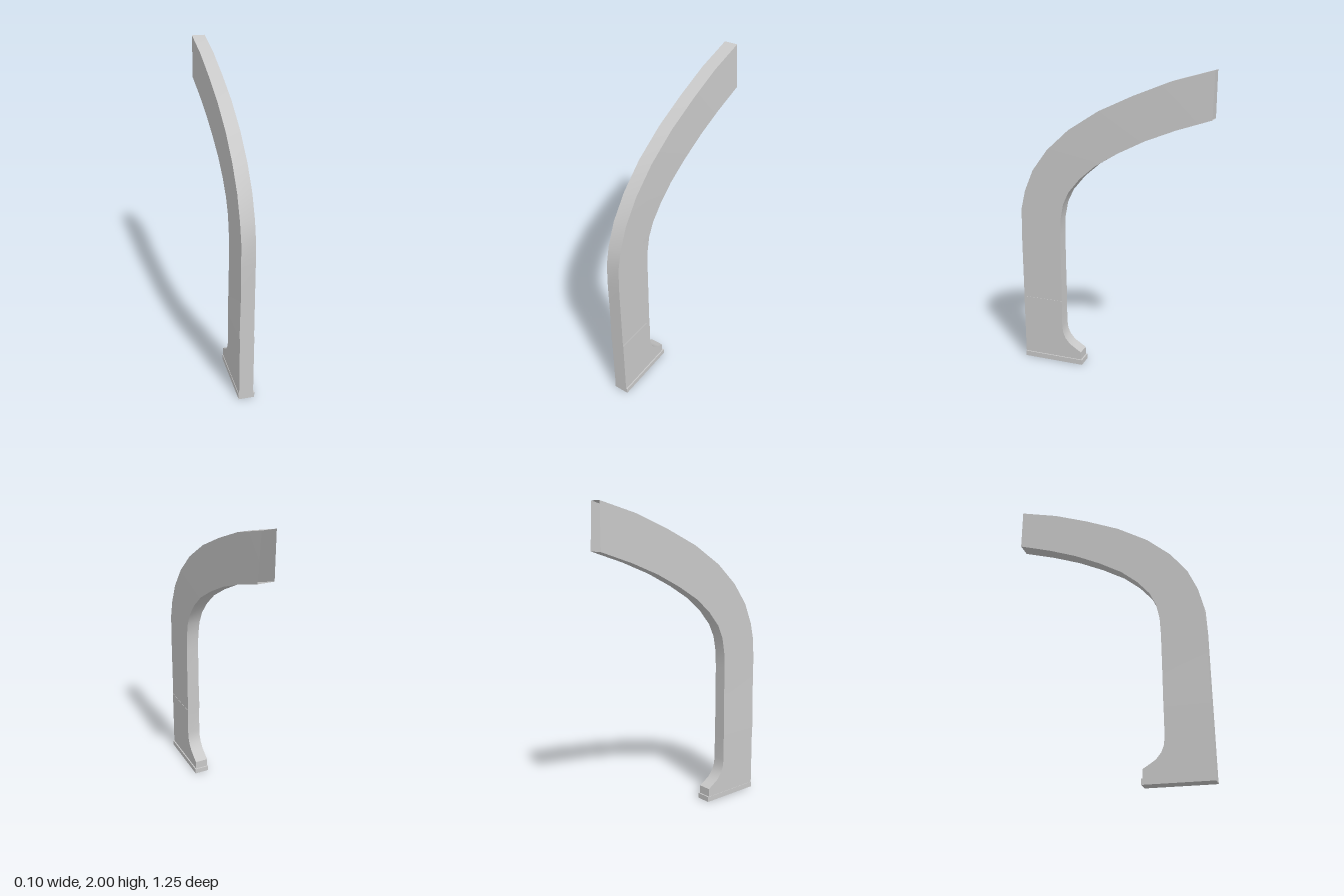
import * as THREE from 'three';
import { mergeGeometries, toCreasedNormals } from 'three/addons/utils/BufferGeometryUtils.js';

// Smooth strip between two rails of [x, y, z] points
function strip(railA, railB) {
  const pos = [], index = [];
  railA.forEach((a, i) => {
    pos.push(...a, ...railB[i]);
    if (i > 0) {
      const k = 2 * (i - 1);
      index.push(k, k + 1, k + 3, k, k + 3, k + 2);
    }
  });
  const g = new THREE.BufferGeometry();
  g.setAttribute('position', new THREE.Float32BufferAttribute(pos, 3));
  g.setIndex(index);
  g.computeVertexNormals();
  return g;
}

export function createModel() {
  const group = new THREE.Group();
  const grey = new THREE.MeshStandardMaterial({ color: 0xc8c8c8, side: THREE.DoubleSide });
  grey.name = 'light grey';

  const add = (name, geometry) => {
    const mesh = new THREE.Mesh(geometry, grey);
    mesh.name = name;
    group.add(mesh);
  };

  // Curved hollow beam: matching [z, y] points on its outer and inner edges
  const outer = [[0.63, 0.45], [0.63, 0.7], [0.63, 0.92], [0.624, 1.08], [0.595, 1.2], [0.535, 1.34],
    [0.43, 1.48], [0.28, 1.615], [0.08, 1.74], [-0.14, 1.84], [-0.37, 1.93], [-0.625, 2]];
  const inner = [[0.35, 0.45], [0.35, 0.7], [0.35, 0.92], [0.345, 1.03], [0.325, 1.13], [0.285, 1.215],
    [0.205, 1.31], [0.1, 1.4], [-0.05, 1.49], [-0.22, 1.575], [-0.41, 1.65], [-0.625, 1.72]];
  // The right edges spread apart towards the tip, so that face twists slightly
  const leftX = (i) => (i === 0 ? -0.05 : -0.045 - 0.007 * Math.max(0, (i - 3) / 8));
  const rightX = (i, spread) => 0.04 + spread * Math.max(0, (i - 4) / 7);
  const outerLeft = outer.map(([z, y], i) => [leftX(i), y, z]);
  const outerRight = outer.map(([z, y], i) => [rightX(i, -0.006), y, z]);
  const innerRight = inner.map(([z, y], i) => [rightX(i, 0.01), y, z]);
  const innerLeft = inner.map(([z, y], i) => [leftX(i), y, z]);
  add('curvedBeam', mergeGeometries([
    strip(outerLeft, outerRight), strip(outerRight, innerRight),
    strip(innerRight, innerLeft), strip(innerLeft, outerLeft),
  ]));

  // Foot with a flared toe
  const profile = [[0.63, 0.035], [0.63, 0.45], [0.35, 0.45], [0.35, 0.27], [0.344, 0.22],
    [0.328, 0.18], [0.295, 0.14], [0.255, 0.114], [0.215, 0.09], [0.215, 0.035]];
  const shape = new THREE.Shape(profile.map(([z, y]) => new THREE.Vector2(z, y)));
  const foot = new THREE.ExtrudeGeometry(shape, { depth: 0.089, bevelEnabled: false });
  foot.rotateY(-Math.PI / 2).translate(0.042, 0, 0);
  add('foot', toCreasedNormals(foot, 0.6));

  // Base plate
  add('basePlate', new THREE.BoxGeometry(0.1, 0.035, 0.425).translate(0, 0.0175, 0.4175));

  return group;
}
